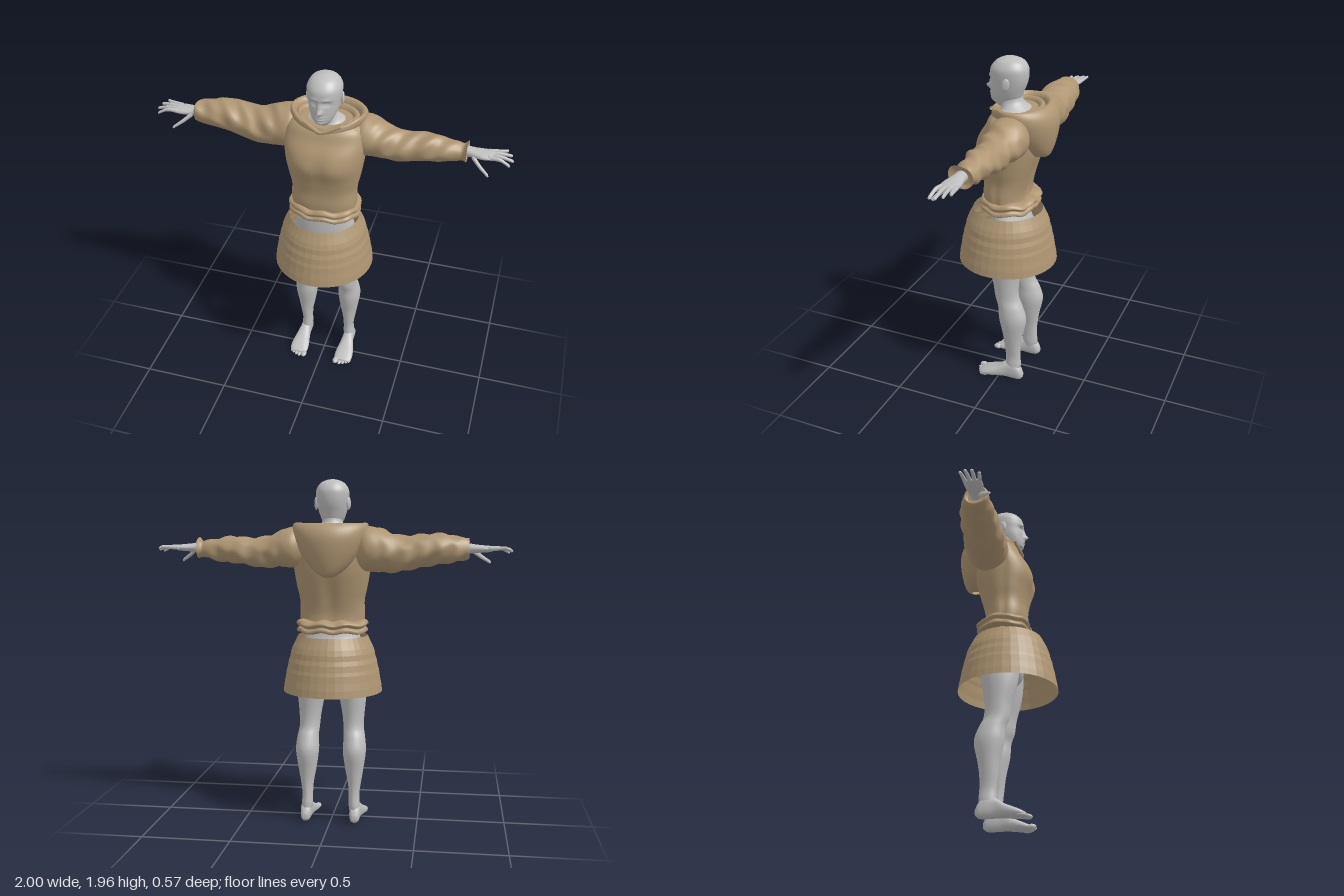
import * as THREE from 'three';

const skin = new THREE.MeshStandardMaterial({ color: 0xbebebe });
skin.name = 'grey skin';
const cloth = new THREE.MeshStandardMaterial({ color: 0xae9572, side: THREE.DoubleSide });
cloth.name = 'tan cloth';

const bump = (d, w) => Math.exp(-(d * d) / (w * w));
const sym = rows => rows.map(([y, x, z0, z1]) => [y, -x, x, z0, z1]);

// Smooth interpolation of the cross-section table
function sample(rows, s) {
  const last = rows.length - 1;
  const i = Math.min(Math.floor(s), last - 1), f = s - i;
  const a = rows[Math.max(i - 1, 0)], b = rows[i], c = rows[i + 1], d = rows[Math.min(i + 2, last)];
  return b.map((v, k) => v + 0.5 * f * (c[k] - a[k] + f * (2 * a[k] - 5 * v + 4 * c[k] - d[k]
    + f * (3 * (v - c[k]) + d[k] - a[k]))));
}

// Surface through sections [position, u0, u1, v0, v1] placed along an axis
function loft(rows, { axis = 'y', sides = 32, steps = 5, square = 2, caps = true, warp } = {}) {
  const pos = [], index = [], rings = (rows.length - 1) * steps;
  const put = (t, u, v) => {
    const p = axis === 'y' ? new THREE.Vector3(u, t, v)
      : axis === 'x' ? new THREE.Vector3(t, u, v) : new THREE.Vector3(u, v, t);
    if (warp) warp(p);
    pos.push(p.x, p.y, p.z);
  };
  const pow = c => Math.sign(c) * Math.abs(c) ** (2 / square);
  for (let r = 0; r <= rings; r++) {
    const [t, u0, u1, v0, v1] = sample(rows, r / steps);
    for (let j = 0; j < sides; j++) {
      const a = j / sides * Math.PI * 2;
      put(t, (u0 + u1) / 2 + (u1 - u0) / 2 * pow(Math.cos(a)), (v0 + v1) / 2 + (v1 - v0) / 2 * pow(Math.sin(a)));
    }
  }
  for (let r = 0; r < rings; r++) for (let j = 0; j < sides; j++) {
    const a = r * sides + j, b = r * sides + (j + 1) % sides;
    index.push(a, a + sides, b, b, a + sides, b + sides);
  }
  if (caps) for (const r of [0, rings]) {
    const [t, u0, u1, v0, v1] = sample(rows, r / steps);
    const c = pos.length / 3;
    put(t, (u0 + u1) / 2, (v0 + v1) / 2);
    for (let j = 0; j < sides; j++) {
      const a = r * sides + j, b = r * sides + (j + 1) % sides;
      index.push(c, ...(r ? [b, a] : [a, b]));
    }
  }
  const g = new THREE.BufferGeometry();
  g.setAttribute('position', new THREE.Float32BufferAttribute(pos, 3));
  g.setIndex(index);
  // Turn the faces outward
  const P = i => new THREE.Vector3().fromArray(pos, i * 3);
  let volume = 0;
  for (let i = 0; i < index.length; i += 3) volume += P(index[i]).dot(P(index[i + 1]).cross(P(index[i + 2])));
  if (volume < 0) flip(g);
  g.computeVertexNormals();
  return g;
}

function flip(g) {
  const a = g.index.array;
  for (let i = 0; i < a.length; i += 3) [a[i], a[i + 1]] = [a[i + 1], a[i]];
}

function mirrored(g) {
  const m = g.clone().scale(-1, 1, 1);
  flip(m);
  m.computeVertexNormals();
  return m;
}

// Tapered finger through a few points
function digit(points, r0, r1) {
  const curve = new THREE.CatmullRomCurve3(points.map(p => new THREE.Vector3(...p)));
  const rows = [0, 0.2, 0.4, 0.6, 0.8, 0.95, 1].map((t, i) => {
    const p = curve.getPoint(t), r = i === 6 ? 0.002 : THREE.MathUtils.lerp(r0, r1, t);
    return [p.x, p.y - r, p.y + r, p.z - r, p.z + r];
  });
  return loft(rows, { axis: 'x', sides: 10, steps: 2 });
}

export function createModel() {
  const model = new THREE.Group();
  const add = (name, geometry, material) => {
    const mesh = new THREE.Mesh(geometry, material);
    mesh.name = name;
    model.add(mesh);
    return mesh;
  };
  const pair = (name, geometry, material) => {
    add('left' + name, geometry, material);
    add('right' + name, mirrored(geometry), material);
  };

  // Head with modelled face
  add('head', loft(sym([
    [1.69, 0.035, -0.03, 0.06], [1.715, 0.05, -0.06, 0.092], [1.74, 0.064, -0.075, 0.098],
    [1.78, 0.078, -0.09, 0.098], [1.82, 0.086, -0.105, 0.097], [1.86, 0.092, -0.112, 0.1],
    [1.9, 0.091, -0.11, 0.094], [1.935, 0.07, -0.088, 0.066], [1.953, 0.038, -0.05, 0.03], [1.96, 0.004, -0.012, -0.004],
  ]), {
    sides: 64, steps: 8, square: 2.15, warp: p => {
      if (p.z < 0.03) return;
      const ax = Math.abs(p.x), { y } = p;
      p.z += 0.03 * bump(ax, 0.013) * bump(y - 1.785, 0.016) + 0.014 * bump(ax, 0.011) * bump(y - 1.815, 0.022)
        - 0.015 * bump(ax - 0.034, 0.019) * bump(y - 1.832, 0.013) + 0.005 * bump(ax - 0.034, 0.025) * bump(y - 1.856, 0.009)
        + 0.006 * bump(ax - 0.034, 0.012) * bump(y - 1.83, 0.006)
        + 0.009 * bump(ax, 0.022) * (bump(y - 1.755, 0.006) + bump(y - 1.742, 0.005))
        - 0.005 * bump(ax, 0.024) * bump(y - 1.7485, 0.003) + 0.006 * bump(ax, 0.022) * bump(y - 1.718, 0.012);
    },
  }), skin);
  const ear = new THREE.SphereGeometry(1, 16, 12).scale(0.01, 0.036, 0.022).rotateY(0.3).rotateX(-0.15);
  ear.translate(0.092, 1.825, -0.02);
  pair('Ear', ear, skin);

  // Neck and shoulder slopes inside the hood
  add('neck', loft(sym([
    [1.6, 0.16, -0.15, 0.05], [1.66, 0.13, -0.14, 0.04], [1.69, 0.085, -0.115, 0.035],
    [1.72, 0.06, -0.085, 0.04], [1.76, 0.056, -0.075, 0.045], [1.8, 0.056, -0.075, 0.04],
  ])), skin);

  // Waist and hips
  add('hips', loft(sym([
    [1.2, 0.15, -0.09, 0.08], [1.1, 0.155, -0.09, 0.085], [1.02, 0.17, -0.12, 0.09],
    [0.94, 0.18, -0.15, 0.09], [0.86, 0.17, -0.14, 0.085], [0.8, 0.08, -0.08, 0.04],
  ])), skin);

  // Legs
  pair('Leg', loft([
    [0.05, 0.112, 0.17, -0.13, -0.045], [0.1, 0.105, 0.17, -0.138, -0.042], [0.16, 0.105, 0.166, -0.134, -0.042],
    [0.23, 0.1, 0.175, -0.135, -0.035], [0.31, 0.085, 0.188, -0.146, -0.025], [0.42, 0.07, 0.203, -0.167, -0.002],
    [0.5, 0.073, 0.196, -0.145, 0.005], [0.56, 0.069, 0.186, -0.118, 0.026], [0.64, 0.06, 0.19, -0.114, 0.038],
    [0.76, 0.036, 0.2, -0.13, 0.068], [0.87, 0.012, 0.195, -0.145, 0.08], [0.97, 0.02, 0.16, -0.12, 0.07],
  ]), skin);
  // Feet and toes
  pair('Foot', loft([
    [-0.153, 0.13, 0.158, 0.02, 0.05], [-0.135, 0.115, 0.17, 0.004, 0.085], [-0.1, 0.11, 0.174, 0, 0.115],
    [-0.05, 0.108, 0.176, 0.002, 0.11], [0, 0.1, 0.19, 0.003, 0.078], [0.05, 0.091, 0.2, 0, 0.056],
    [0.09, 0.09, 0.2, 0, 0.038], [0.115, 0.1, 0.185, 0.006, 0.025],
  ], { axis: 'z', sides: 24, square: 2.4 }), skin);
  [[0.105, 0.118, 0.018], [0.132, 0.118, 0.012], [0.153, 0.11, 0.011], [0.172, 0.1, 0.01], [0.188, 0.088, 0.01]]
    .forEach(([x, z, r], i) => pair('Toe' + (i + 1),
      new THREE.SphereGeometry(1, 12, 8).scale(r, r * 0.85, 0.026).translate(x, r * 0.85, z), skin));

  // Hands
  pair('Palm', loft([
    [0.7, 1.548, 1.612, -0.112, -0.046], [0.76, 1.552, 1.608, -0.11, -0.045], [0.8, 1.555, 1.602, -0.115, -0.035],
    [0.84, 1.558, 1.598, -0.122, -0.025], [0.88, 1.562, 1.594, -0.122, -0.027], [0.9, 1.572, 1.586, -0.11, -0.04],
  ], { axis: 'x', sides: 20 }), skin);
  [[0.965, 1.585, -0.13, -0.112], [0.99, 1.576, -0.1, -0.088], [1, 1.566, -0.063, -0.066], [0.985, 1.556, -0.026, -0.042]]
    .forEach(([x, y, z, base], i) => pair('Finger' + (i + 1),
      digit([[0.865, 1.578, base], [0.93, 1.582, (base + z) / 2], [x, y, z]], 0.0125, 0.008), skin));
  pair('Thumb', digit([[0.785, 1.57, -0.055], [0.83, 1.535, -0.02], [0.885, 1.5, 0.012]], 0.018, 0.009), skin);

  // Jacket body with chest and back shaping
  add('jacketBody', loft(sym([
    [1.12, 0.18, -0.13, 0.11], [1.2, 0.186, -0.122, 0.12], [1.28, 0.184, -0.138, 0.12], [1.36, 0.2, -0.16, 0.134],
    [1.45, 0.215, -0.183, 0.155], [1.53, 0.225, -0.19, 0.142], [1.6, 0.228, -0.19, 0.1],
    [1.65, 0.212, -0.18, 0.075], [1.68, 0.17, -0.15, 0.045],
  ]), {
    sides: 64, square: 2.4, warp: p => {
      const ax = Math.abs(p.x);
      if (p.z > 0.05) p.z += 0.008 * bump(ax - 0.09, 0.07) * bump(p.y - 1.46, 0.06) - 0.007 * bump(ax, 0.03) * bump(p.y - 1.45, 0.1);
      if (p.z < -0.05) p.z += 0.014 * bump(ax, 0.035) * bump(p.y - 1.32, 0.16);
      // Side seam
      if (ax > 0.1) p.x *= 1 - 0.04 * bump(p.z, 0.012);
    },
  }), cloth);

  // Gathered hem
  const hemWave = p => {
    const a = Math.atan2(p.x, p.z + 0.02);
    const k = 1 + 0.012 * Math.sin(a * 9) + 0.01 * Math.sin(a * 14 + 1);
    p.x *= k;
    p.z *= k;
    p.y += 0.006 * Math.sin(a * 7 + 0.5);
  };
  add('jacketHem', loft(sym([
    [1.175, 0.17, -0.12, 0.105], [1.17, 0.195, -0.155, 0.13], [1.152, 0.204, -0.178, 0.14], [1.134, 0.19, -0.16, 0.125],
    [1.122, 0.2, -0.172, 0.136], [1.105, 0.198, -0.165, 0.13], [1.105, 0.15, -0.12, 0.09],
  ]), { sides: 80, square: 2.4, warp: hemWave }), cloth);

  // Sleeves: the right one is fuller, both lightly creased
  const crease = p => {
    const s = Math.abs(p.x), fade = THREE.MathUtils.smoothstep(s, 0.22, 0.32);
    const w = fade * (0.004 * Math.sin(s * 62 + p.z * 45) + 0.003 * Math.sin(s * 31 - p.y * 60));
    p.y += w;
    p.z += w;
  };
  const sleeve = { axis: 'x', sides: 40, steps: 8, warp: crease };
  add('leftSleeve', loft([
    [0.15, 1.5, 1.67, -0.17, 0], [0.2, 1.47, 1.697, -0.205, 0.025], [0.26, 1.472, 1.685, -0.205, 0.025],
    [0.34, 1.472, 1.65, -0.18, 0.02], [0.42, 1.472, 1.635, -0.168, 0.015], [0.52, 1.488, 1.643, -0.165, 0.002],
    [0.62, 1.502, 1.635, -0.15, -0.008], [0.7, 1.52, 1.622, -0.135, -0.022], [0.735, 1.528, 1.615, -0.128, -0.03],
    [0.758, 1.52, 1.635, -0.145, -0.012], [0.745, 1.545, 1.61, -0.115, -0.042],
  ], sleeve), cloth);
  add('rightSleeve', loft([
    [-0.15, 1.48, 1.67, -0.17, 0], [-0.2, 1.453, 1.7, -0.21, 0.028], [-0.28, 1.448, 1.688, -0.21, 0.028],
    [-0.4, 1.452, 1.648, -0.2, 0.026], [-0.5, 1.472, 1.66, -0.195, 0.012], [-0.6, 1.495, 1.662, -0.188, 0.002],
    [-0.7, 1.508, 1.648, -0.165, -0.01], [-0.76, 1.522, 1.636, -0.142, -0.02], [-0.758, 1.545, 1.61, -0.115, -0.042],
  ], sleeve), cloth);

  // Lowered hood: outer bowl, rolled rim and inner fold, dipping at the throat
  const dip = p => { p.y -= 0.5 * Math.max(0, p.z + 0.01); };
  add('hood', loft(sym([
    [1.42, 0.015, -0.215, -0.17], [1.44, 0.06, -0.245, -0.12], [1.49, 0.115, -0.265, -0.06], [1.56, 0.165, -0.28, 0],
    [1.63, 0.198, -0.285, 0.05], [1.68, 0.212, -0.272, 0.075], [1.712, 0.208, -0.245, 0.075], [1.718, 0.192, -0.222, 0.062],
    [1.7, 0.175, -0.205, 0.05], [1.66, 0.165, -0.195, 0.045],
  ]), { sides: 56, caps: false, warp: dip }), cloth);
  add('hoodInnerFold', loft(sym([
    [1.66, 0.178, -0.205, 0.06], [1.695, 0.17, -0.195, 0.056], [1.7, 0.152, -0.178, 0.05],
    [1.68, 0.14, -0.16, 0.045], [1.64, 0.14, -0.155, 0.04],
  ]), { sides: 56, caps: false, warp: dip }), cloth);
  const collar = new THREE.CatmullRomCurve3([[-0.1, 1.695, 0.055], [-0.04, 1.672, 0.078], [0, 1.66, 0.088],
    [0.04, 1.672, 0.078], [0.1, 1.695, 0.055]].map(p => new THREE.Vector3(...p)));
  add('collarFold', new THREE.TubeGeometry(collar, 24, 0.012, 10), cloth);

  // Faceted open skirt
  const profile = [[0.286, 0.76], [0.281, 0.8], [0.273, 0.84], [0.267, 0.88], [0.261, 0.9], [0.255, 0.935],
    [0.246, 0.96], [0.241, 0.99], [0.23, 1.02], [0.215, 1.05], [0.2, 1.082]].map(p => new THREE.Vector2(...p));
  const skirt = new THREE.LatheGeometry(profile, 36).toNonIndexed();
  skirt.computeVertexNormals();
  add('skirt', skirt, cloth).position.z = 0.002;

  return model;
}
